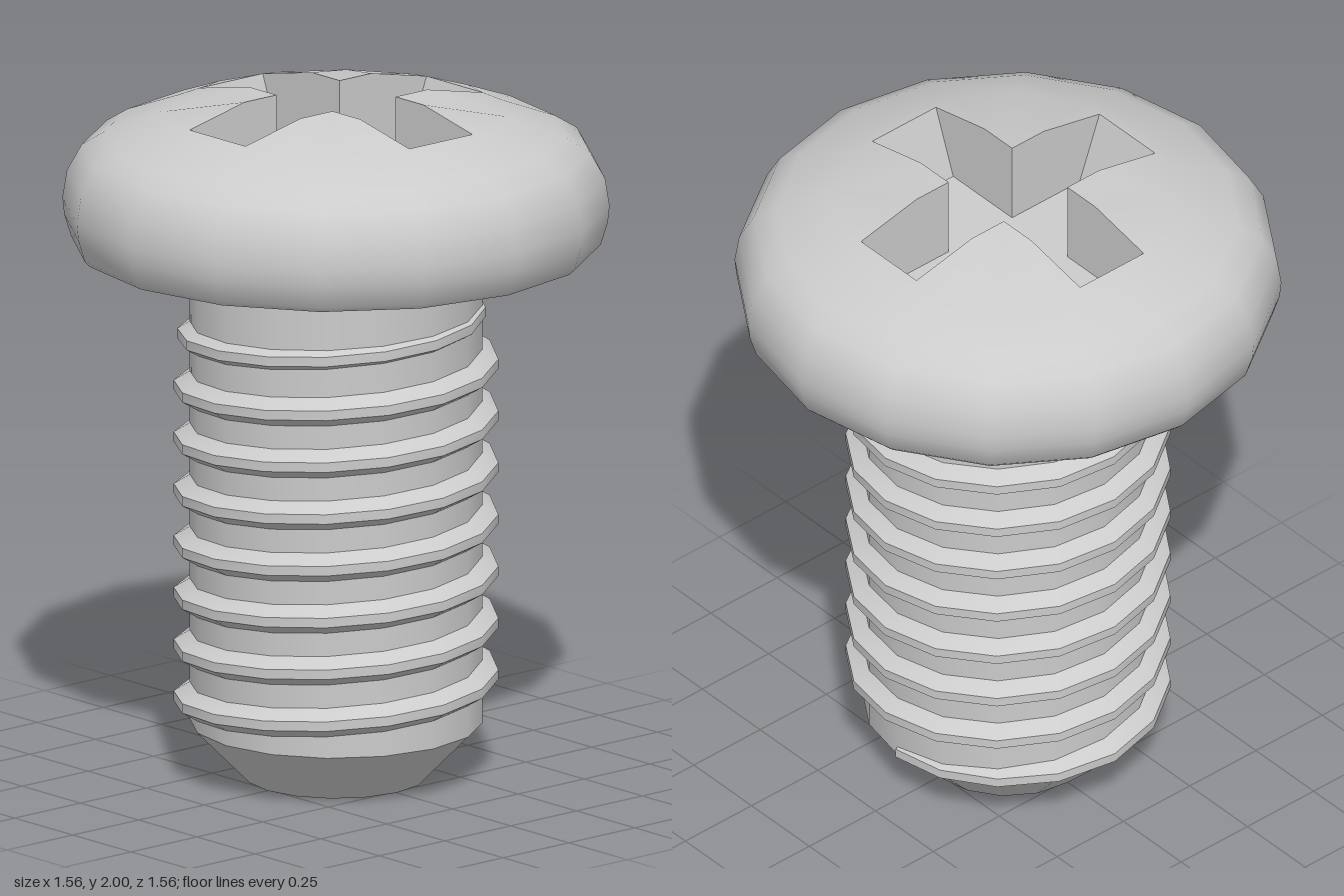
import * as THREE from 'three';
import { mergeGeometries, toCreasedNormals } from 'three/addons/utils/BufferGeometryUtils.js';

const SIDES = 16;
const material = new THREE.MeshStandardMaterial({ color: 0xcccccc });

function lathe(profile) {
  const g = new THREE.LatheGeometry(profile.map(([r, y]) => new THREE.Vector2(r, y)), SIDES).toNonIndexed();
  g.deleteAttribute('uv');
  g.deleteAttribute('normal');
  return g;
}

function fromTriangles(triangles) {
  const g = new THREE.BufferGeometry();
  g.setAttribute('position', new THREE.Float32BufferAttribute(triangles.flat(2), 3));
  return g;
}

function addMesh(group, name, geometry, crease = 0.55) {
  const mesh = new THREE.Mesh(toCreasedNormals(geometry, crease), material);
  mesh.name = name;
  group.add(mesh);
}

// Point (u, v) on the plan, turned by k quarter turns, at height y
function planPoint(u, v, y, k) {
  for (let i = 0; i < k; i++) [u, v] = [-v, u];
  return [u, y, -v];
}

function createHead(group) {
  const rim = 0.5, rimY = 1.945, floorY = 1.75;
  const dome = [], walls = [], loop = [];

  for (let k = 0; k < 4; k++) {
    // Slot edge in one quadrant: [u, v, top height, floor u, floor v]
    const edge = [
      [0.45, 0.12, 1.955, 0.375, 0.12],
      [0.24, 0.12, 2, 0.24, 0.12],
      [0.12, 0.12, 2, 0.12, 0.12],
      [0.12, 0.24, 2, 0.12, 0.24],
      [0.12, 0.45, 1.955, 0.12, 0.375],
    ];
    const [A, D, C, E, B] = edge.map(([u, v, y]) => planPoint(u, v, y, k));
    const nextA = planPoint(0.45, 0.12, 1.955, k + 1);
    const r = [0, 1, 2, 3, 4].map((i) => {
      const a = (i * 2 * Math.PI) / SIDES;
      return planPoint(rim * Math.cos(a), rim * Math.sin(a), rimY, k);
    });
    // Crown around the slot
    dome.push([A, r[0], r[1]], [D, A, r[1]], [D, r[1], r[2]], [C, D, r[2]], [C, r[2], E],
      [E, r[2], r[3]], [E, r[3], B], [B, r[3], r[4]], [B, r[4], nextA]);
    for (const [u, v, y, fu, fv] of edge) {
      loop.push({ top: planPoint(u, v, y, k), low: planPoint(fu, fv, floorY, k) });
    }
  }

  // Slot walls and floor
  loop.forEach((p, i) => {
    const q = loop[(i + 1) % loop.length];
    walls.push([p.top, q.top, q.low], [p.top, q.low, p.low], [[0, floorY, 0], p.low, q.low]);
  });

  const side = lathe([
    [0.3, 1.56], [0.74, 1.56], [0.755, 1.575], [0.775, 1.64], [0.78, 1.69],
    [0.767, 1.77], [0.725, 1.845], [0.66, 1.885], [rim, rimY],
  ]);
  addMesh(group, 'panHead', mergeGeometries([side, fromTriangles(dome)]), 0.75);
  addMesh(group, 'crossSlot', fromTriangles(walls), 0.2);
}

// Helical ridge that fades out at both ends
function createThread(group) {
  const turns = 8, pitch = 0.1525, startY = 0.17, steps = turns * SIDES;
  const sections = [];
  for (let i = 0; i <= steps; i++) {
    const t = i / SIDES, a = t * 2 * Math.PI, y = startY + pitch * t;
    const fade = Math.min(1, 0.2 + t * 3.2, 0.1 + (turns - t) * 1.1);
    const crest = 0.415 + 0.048 * fade;
    const half = 0.015 + 0.03 * fade;
    sections.push([[0.412, -half], [crest, -0.014], [crest, 0.014], [0.412, half]].map(
      ([r, dy]) => [r * Math.cos(a), y + dy, -r * Math.sin(a)]));
  }
  const tris = [];
  for (let i = 0; i < steps; i++) {
    const p = sections[i], q = sections[i + 1];
    for (let j = 0; j < 3; j++) tris.push([p[j], q[j], q[j + 1]], [p[j], q[j + 1], p[j + 1]]);
  }
  // End caps
  const s = sections[0], e = sections[steps];
  tris.push([s[0], s[1], s[2]], [s[0], s[2], s[3]], [e[0], e[2], e[1]], [e[0], e[3], e[2]]);
  addMesh(group, 'thread', fromTriangles(tris));
}

export function createModel() {
  const group = new THREE.Group();
  group.name = 'machineScrew';
  createHead(group);
  // Shank with chamfered tip and a slight collar under the head
  addMesh(group, 'shank', lathe([
    [0, 0], [0.26, 0], [0.417, 0.16], [0.417, 1.54], [0.424, 1.54], [0.424, 1.565],
  ]));
  createThread(group);
  return group;
}
